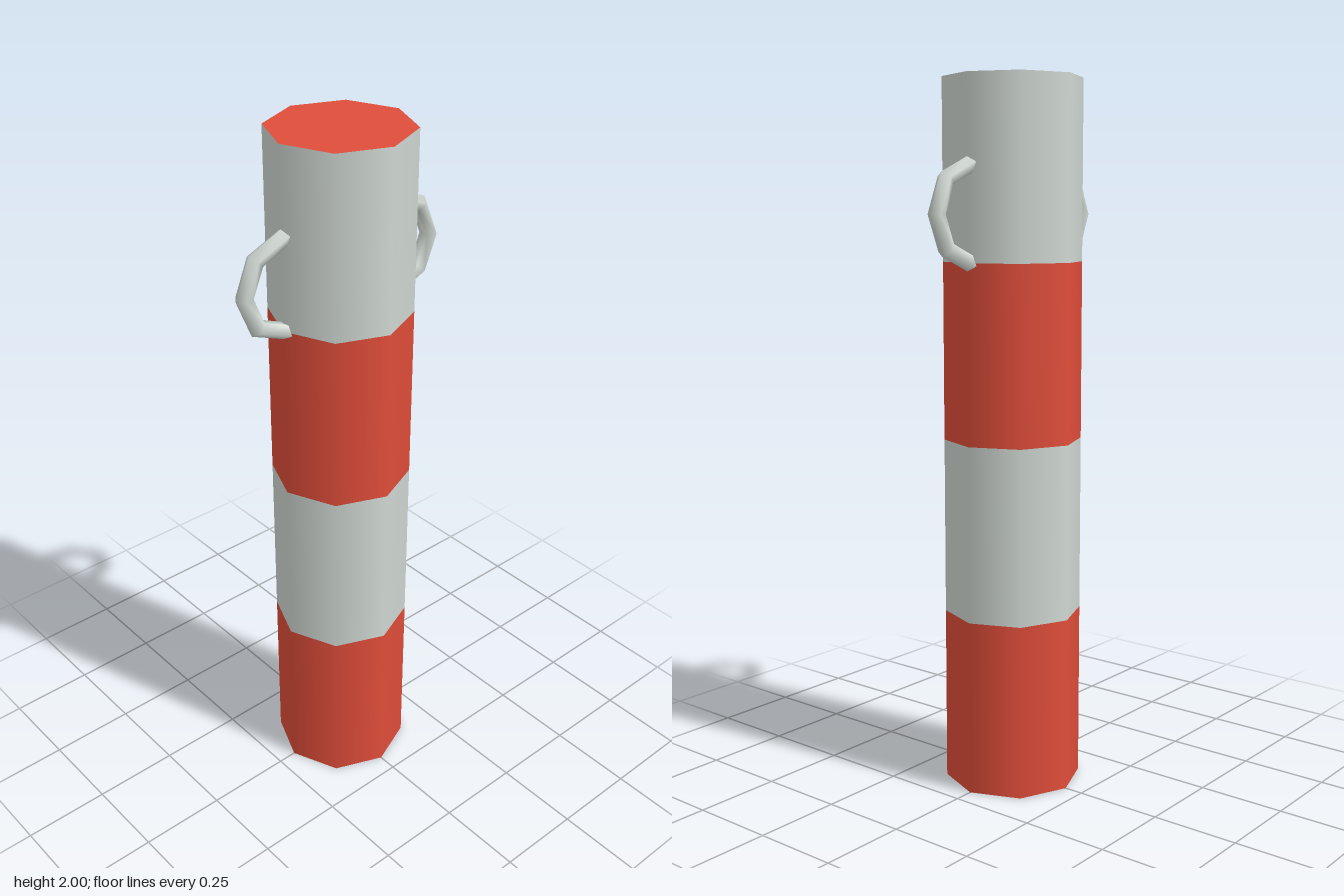
import * as THREE from 'three';

export function createModel() {
  const group = new THREE.Group();
  const red = new THREE.MeshStandardMaterial({ name: 'red', color: 0xe04d3a, side: THREE.DoubleSide });
  const grey = new THREE.MeshStandardMaterial({ name: 'paleGrey', color: 0xd0d8d2, side: THREE.DoubleSide });
  const radius = 0.195, bandHeight = 0.5;

  const add = (name, geometry, material) => {
    const mesh = new THREE.Mesh(geometry, material);
    mesh.name = name;
    group.add(mesh);
    return mesh;
  };

  // Smooth eight-sided post in four alternating bands, open underneath
  for (let i = 0; i < 4; i++) {
    const band = new THREE.CylinderGeometry(radius, radius, bandHeight, 8, 1, true, -Math.PI / 2);
    add('postBand' + (i + 1), band, i % 2 ? grey : red).position.y = (i + 0.5) * bandHeight;
  }

  // Flat cap closing the top
  const cap = new THREE.CircleGeometry(radius, 8).rotateX(-Math.PI / 2);
  add('topCap', cap, red).position.y = 4 * bandHeight;

  // Coarse ring handles, half sunk into the post
  for (const side of [1, -1]) {
    const ring = new THREE.TorusGeometry(0.13, 0.025, 5, 8);
    add(side > 0 ? 'leftHandle' : 'rightHandle', ring, grey).position.set(side * 0.187, 1.63, 0);
  }

  return group;
}
